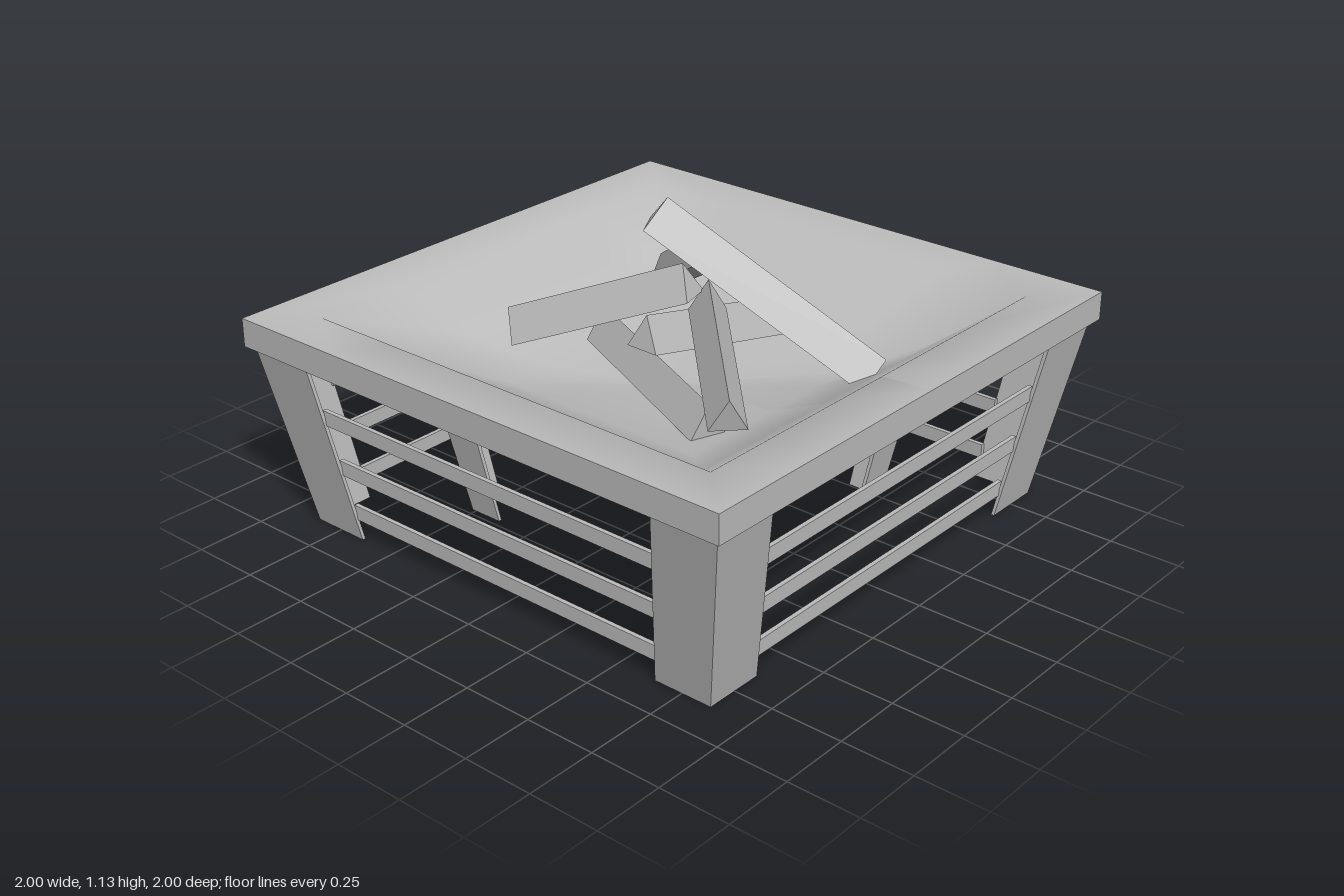
import * as THREE from 'three';

const grey = new THREE.MeshStandardMaterial({ color: 0xbcbcbc });
grey.name = 'plain grey';

function add(parent, geometry, name) {
  const mesh = new THREE.Mesh(geometry, grey);
  mesh.name = name;
  parent.add(mesh);
  return mesh;
}

// Lathe pushed out from circular to square rings
function squareLathe(profile, flat = false) {
  let g = new THREE.LatheGeometry(profile.map(([r, y]) => new THREE.Vector2(r, y)), 24);
  const p = g.attributes.position;
  for (let i = 0; i < p.count; i++) {
    const x = p.getX(i), z = p.getZ(i);
    const m = Math.max(Math.abs(x), Math.abs(z));
    const k = m > 1e-6 ? Math.hypot(x, z) / m : 1;
    p.setX(i, x * k);
    p.setZ(i, z * k);
  }
  if (flat) g = g.toNonIndexed();
  g.computeVertexNormals();
  return g;
}

// Tapered angle-section leg; each end is [y, outer corner, arm width]
function angleLeg(bottom, top, thickness) {
  const t = thickness / bottom[2];
  const shape = new THREE.Shape(
    [[0, 0], [1, 0], [1, t], [t, t], [t, 1], [0, 1]].map(([a, b]) => new THREE.Vector2(a, b)));
  const g = new THREE.ExtrudeGeometry(shape, { depth: 1, bevelEnabled: false });
  const p = g.attributes.position;
  for (let i = 0; i < p.count; i++) {
    const a = p.getX(i), b = p.getY(i), h = p.getZ(i);
    const [y, corner, width] = bottom.map((v, k) => THREE.MathUtils.lerp(v, top[k], h));
    p.setXYZ(i, corner - b * width, y, corner - a * width);
  }
  g.computeVertexNormals();
  return g;
}

export function createModel() {
  const model = new THREE.Group();
  model.name = 'firePit';

  // Dished bowl with a square rim
  const bowl = new THREE.Group();
  bowl.name = 'bowl';
  model.add(bowl);
  add(bowl, squareLathe([[1, 0.75], [0.82, 0.743], [0.6, 0.58], [0.4, 0.49], [0, 0.46]]), 'bowlInside');
  add(bowl, squareLathe([[1, 0.65], [1, 0.75]], true), 'rimEdge');
  add(bowl, squareLathe([[0, 0.41], [0.55, 0.41], [0.59, 0.43], [0.71, 0.49], [0.97, 0.64], [1, 0.65]]), 'bowlUnderside');

  // Corner legs, inner legs and rails, repeated on each side
  const outerLeg = angleLeg([0, 0.86, 0.215], [0.645, 0.975, 0.245], 0.012);
  const innerLeg = angleLeg([0.015, 0.495, 0.125], [0.43, 0.565, 0.145], 0.012);
  for (let i = 0; i < 4; i++) {
    const side = new THREE.Group();
    side.name = 'frameSide' + (i + 1);
    side.rotation.y = i * Math.PI / 2;
    model.add(side);
    add(side, outerLeg, 'cornerLeg');
    add(side, innerLeg, 'innerLeg');
    for (const y of [0.1, 0.27, 0.457]) {
      const halfLength = 0.655 + 0.132 * y;
      add(side, new THREE.BoxGeometry(2 * halfLength, 0.052, 0.016), 'rail')
        .position.set(0, y, 0.84 + 0.178 * y);
    }
  }

  // Stacked three-sided split logs, each given by the two ends of its top ridge
  const logs = new THREE.Group();
  logs.name = 'logs';
  model.add(logs);
  const wedge = new THREE.Shape(
    [[0, 0], [-0.0625, -0.118], [0.0625, -0.118]].map(([x, y]) => new THREE.Vector2(x, y)));
  const ridges = [
    [[-0.04, 1.135, -0.01], [0.325, 0.62, 0.61]],
    [[0.12, 0.985, 0.02], [0.5, 0.645, -0.51]],
    [[0.01, 0.87, 0.12], [-0.4, 0.72, 0.545]],
    [[-0.06, 0.935, 0.07], [-0.23, 0.66, -0.56]],
    [[-0.19, 0.785, 0.03], [0.545, 0.626, 0.05]],
    [[0.01, 0.65, -0.34], [-0.27, 0.6, 0.36]],
  ];
  for (const [from, to] of ridges) {
    const a = new THREE.Vector3(...from), b = new THREE.Vector3(...to);
    const log = add(logs, new THREE.ExtrudeGeometry(wedge, { depth: a.distanceTo(b), bevelEnabled: false }), 'log');
    log.position.copy(a);
    log.lookAt(b);
  }
  return model;
}
